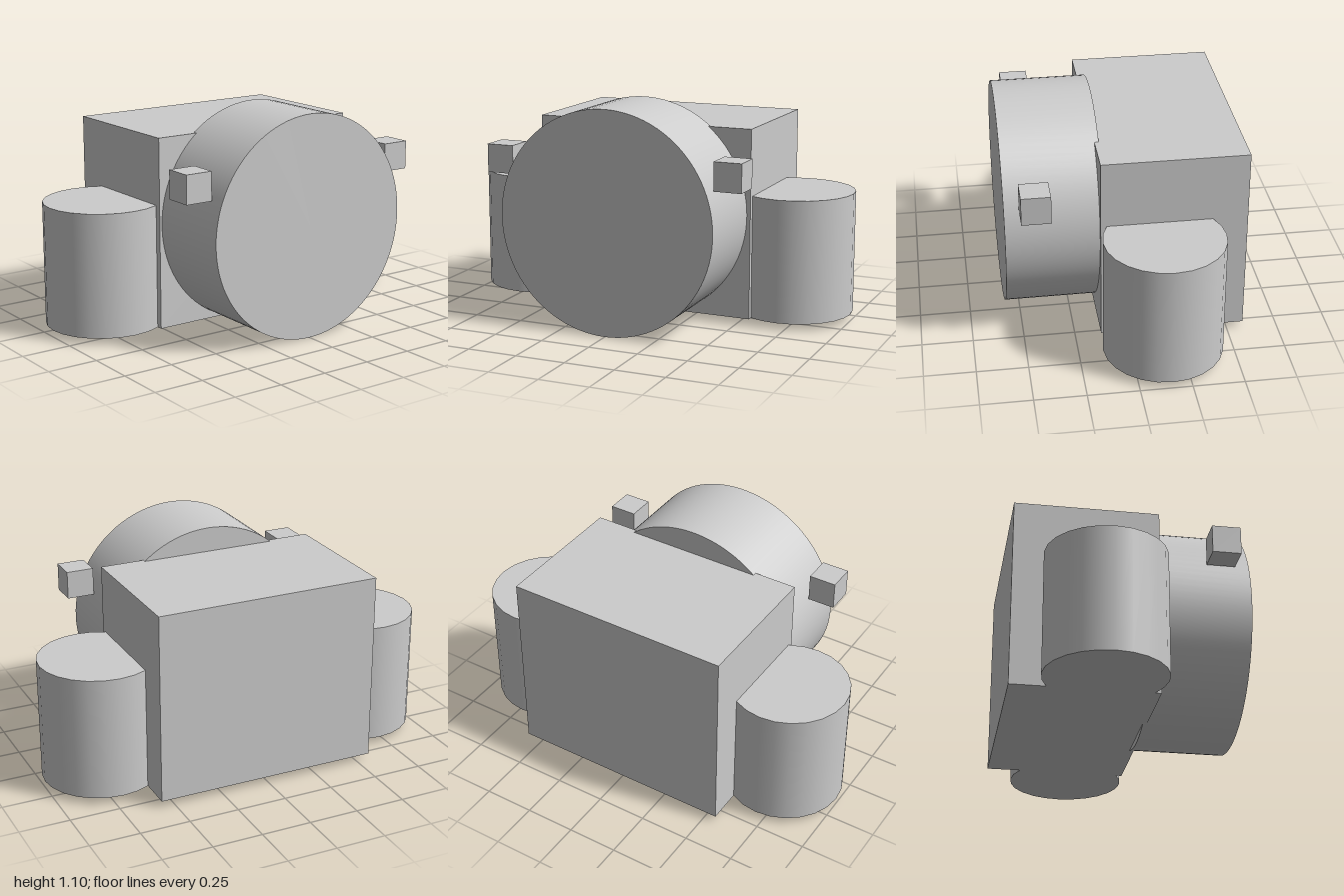
import * as THREE from 'three';

export function createModel() {
  const model = new THREE.Group();
  const grey = new THREE.MeshStandardMaterial({ color: 0xcccccc });
  grey.name = 'light grey';

  const add = (name, geometry, x, y, z) => {
    const mesh = new THREE.Mesh(geometry, grey);
    mesh.name = name;
    mesh.position.set(x, y, z);
    model.add(mesh);
    return mesh;
  };

  // Main block
  add('body', new THREE.BoxGeometry(0.706, 0.943, 1.13), -0.226, 0.509, -0.003);

  // Large drum lying along x, set into the side of the block
  const drum = add('drum', new THREE.CylinderGeometry(0.55, 0.55, 0.47, 96), 0.341, 0.554, 0);
  drum.rotation.z = -Math.PI / 2;

  // Matching upright cylinders and small square pegs, front and back
  const sideCylinder = new THREE.CylinderGeometry(0.291, 0.291, 0.611, 24);
  const peg = new THREE.BoxGeometry(0.14, 0.14, 0.138);
  for (const [end, s] of [['front', 1], ['back', -1]]) {
    add(end + 'Cylinder', sideCylinder, -0.155, 0.343, s * 0.709);
    add(end + 'Peg', peg, 0.435, 0.815, s * 0.592);
  }
  return model;
}
